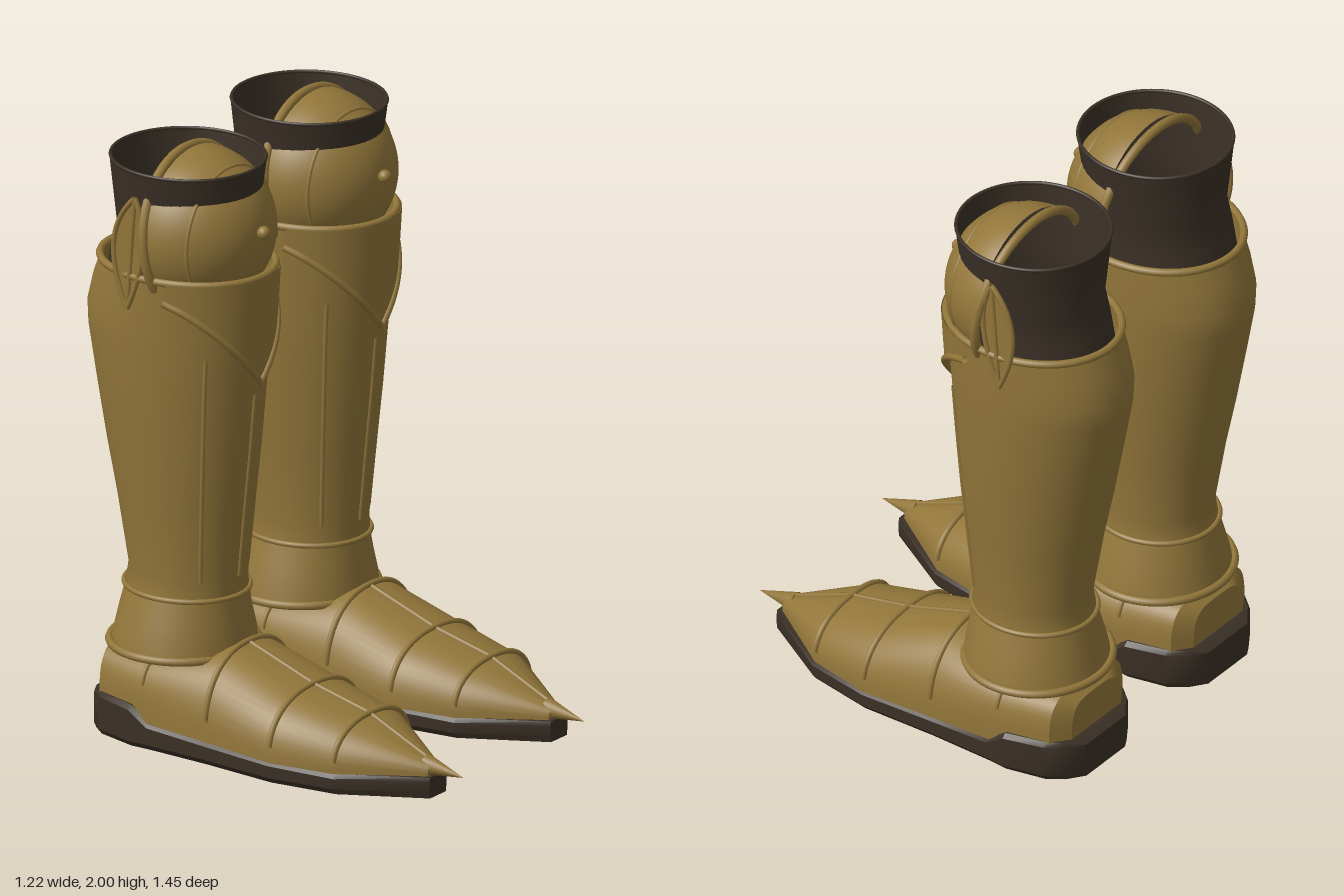
import * as THREE from 'three';
import { toCreasedNormals } from 'three/addons/utils/BufferGeometryUtils.js';

const V = (x, y, z) => new THREE.Vector3(x, y, z);
const lerp = THREE.MathUtils.lerp;

// Leg cross-sections: [y, half width, front z, back z]
const GREAVE = [
  [0.5, 0.185, -0.172, -0.58], [0.57, 0.176, -0.17, -0.57], [0.8, 0.2, -0.147, -0.61],
  [1.0, 0.221, -0.125, -0.652], [1.2, 0.237, -0.107, -0.69], [1.36, 0.246, -0.092, -0.72],
  [1.44, 0.248, -0.086, -0.724], [1.53, 0.248, -0.08, -0.7], [1.61, 0.248, -0.077, -0.668],
];
const ANKLE = [[0.3, 0.24, -0.15, -0.622], [0.36, 0.228, -0.155, -0.61], [0.43, 0.206, -0.165, -0.596], [0.5, 0.185, -0.172, -0.58]];
const CUFF = [[1.56, 0.225, -0.14, -0.645], [1.64, 0.22, -0.145, -0.63], [1.73, 0.216, -0.145, -0.605], [1.96, 0.245, -0.115, -0.628]];
// Foot cross-sections: [z, half width, top y, bottom y, roundness]
const FOOT = [
  [-0.622, 0.13, 0.27, 0.1, 0.5], [-0.58, 0.195, 0.3, 0.1, 0.5], [-0.39, 0.23, 0.305, 0.09, 0.55], [-0.13, 0.235, 0.355, 0.08, 0.85],
  [0.13, 0.242, 0.268, 0.07, 0.85], [0.355, 0.2, 0.218, 0.07, 0.85], [0.61, 0.035, 0.108, 0.07, 0.9],
];
// Sole cross-sections: [z, half width, top y]
const SOLE = [
  [-0.66, 0.11, 0.12], [-0.62, 0.17, 0.14], [-0.57, 0.21, 0.145], [-0.43, 0.243, 0.14], [-0.36, 0.238, 0.092],
  [-0.13, 0.236, 0.08], [0.13, 0.246, 0.075], [0.36, 0.205, 0.07], [0.625, 0.045, 0.07],
];

// Skin over a list of equal-length point rings
function loft(rings, { closed = true, caps = false } = {}) {
  const n = rings[0].length, pos = [], idx = [];
  rings.forEach(r => r.forEach(p => pos.push(p.x, p.y, p.z)));
  for (let i = 0; i < rings.length - 1; i++) {
    for (let j = 0; j < (closed ? n : n - 1); j++) {
      const a = i * n + j, b = i * n + (j + 1) % n;
      idx.push(a, b, a + n, b, b + n, a + n);
    }
  }
  if (caps) {
    const last = (rings.length - 1) * n;
    for (let j = 1; j < n - 1; j++) idx.push(0, j + 1, j, last, last + j, last + j + 1);
  }
  const g = new THREE.BufferGeometry();
  g.setAttribute('position', new THREE.Float32BufferAttribute(pos, 3));
  g.setIndex(idx);
  g.computeVertexNormals();
  return g;
}

// Point on an oval leg section; a = 0 faces front
const oval = ([y, hw, zf, zb], a, off = 0) =>
  V((hw + off) * Math.sin(a), y, (zf + zb) / 2 + ((zf - zb) / 2 + off) * Math.cos(a));
const ring = (row, off = 0, n = 48) => Array.from({ length: n }, (_, i) => oval(row, i / n * Math.PI * 2, off));

// Point on the greave surface at any height
function onGreave(y, a, off = 0) {
  let i = 0;
  while (i < GREAVE.length - 2 && GREAVE[i + 1][0] < y) i++;
  const t = (y - GREAVE[i][0]) / (GREAVE[i + 1][0] - GREAVE[i][0]);
  return oval(GREAVE[i].map((v, k) => lerp(v, GREAVE[i + 1][k], t)), a, off);
}

// Point on an arched foot section; t runs 0..PI over the top
function arch([z, hw, top, bot, p], t, off = 0) {
  const c = Math.cos(t), s = Math.max(0, Math.sin(t));
  return V(Math.sign(c) * (hw + off) * Math.abs(c) ** p, bot + (top - bot + off) * s ** p, z);
}

const tube = (pts, r, closed = false) =>
  new THREE.TubeGeometry(new THREE.CatmullRomCurve3(pts, closed), pts.length * 3, r, 8, closed);
const rod = (a, b, r) => new THREE.TubeGeometry(new THREE.LineCurve3(a, b), 1, r, 8);
const steps = (n, f) => Array.from({ length: n + 1 }, (_, i) => f(i / n));

function createLeg(side, brass, leather) {
  const leg = new THREE.Group();
  const add = (name, geo, mat = brass) => {
    const m = new THREE.Mesh(geo, mat);
    m.name = name;
    leg.add(m);
    return m;
  };

  // Shin, ankle and inner cuff shells
  add('greave', loft(GREAVE.map(r => ring(r))));
  add('ankleFlare', loft(ANKLE.map(r => ring(r))));
  add('cuff', loft(CUFF.map(r => ring(r))), leather);
  add('cuffLip', tube(ring(CUFF[3], -0.004), 0.006, true), leather);

  // Rolled edges
  add('greaveTopRoll', tube(ring(GREAVE[8], 0.002), 0.013, true));
  add('ankleRoll', tube(ring([0.505, 0.185, -0.172, -0.58], 0.004), 0.009, true));
  add('flareRoll', tube(ring([0.313, 0.24, -0.16, -0.622], 0.002), 0.014, true));

  // Raised ridges on the shin
  add('shinRidge', tube(steps(6, t => onGreave(lerp(0.57, 1.2, t), 0)), 0.007));
  for (const s of [-1, 1]) add('sideRidge', tube(steps(6, t => onGreave(lerp(0.57, 1.35, t), s * lerp(0.79, 0.75, t))), 0.007));

  // Pointed plate below the knee
  const vEdge = (u, t) => onGreave(lerp(1.245 + 0.3 * Math.abs(u), 1.61, t), Math.asin(u * 0.95), 0.018);
  add('pointedPlate', loft(steps(6, t => steps(32, u => vEdge(u * 2 - 1, t))), { closed: false }));
  for (const s of [-1, 1]) add('pointedPlateEdge', tube(steps(12, t => vEdge(s * t, 0)), 0.012));

  // Knee dome with rim, band and boss
  const dome = new THREE.SphereGeometry(0.268, 48, 20, 0, Math.PI * 2, 0, Math.PI / 2);
  dome.rotateX(Math.PI / 2);
  add('kneeDome', dome).position.set(0, 1.725, -0.35);
  const rim = new THREE.TorusGeometry(0.273, 0.016, 8, 48, Math.PI * 1.34);
  rim.rotateZ(-Math.PI * 0.17);
  rim.rotateX(-0.12);
  add('kneeRim', rim).position.set(0, 1.715, -0.345);
  add('kneeBand', new THREE.TorusGeometry(0.226, 0.007, 8, 48)).position.set(0, 1.725, -0.21);
  add('kneeBoss', new THREE.SphereGeometry(0.022, 16, 12)).position.set(0, 1.76, -0.07);

  // Leaf-shaped wing on the outer side of the knee
  const x = side * 0.254;
  const top = V(x, 1.88, -0.395), tip = V(x, 1.5, -0.425);
  const edges = [-0.315, -0.545].map(z => new THREE.QuadraticBezierCurve3(top, V(x, 1.74, z), tip));
  const [front, back] = edges.map(e => e.getPoints(16));
  add('kneeWing', loft([front, back], { closed: false }));
  edges.forEach(e => add('kneeWingEdge', new THREE.TubeGeometry(e, 16, 0.009, 8)));
  add('kneeWingRidge', rod(top, tip, 0.008));

  // Plated foot with a spiked toe
  const foot = loft(FOOT.map(r => steps(28, t => arch(r, t * Math.PI))), { caps: true });
  add('footPlate', toCreasedNormals(foot, 0.4));
  const spike = new THREE.ConeGeometry(0.034, 0.15, 16);
  spike.rotateX(Math.PI / 2 + 0.1);
  add('toeSpike', spike).position.set(0, 0.088, 0.653);
  for (const i of [3, 4, 5]) add('footBand', tube(steps(24, t => arch(FOOT[i], lerp(0.2, Math.PI - 0.2, t), 0.003)), 0.01));
  for (const s of [0, 1]) {
    add('heelBand', tube(steps(6, t => {
      const a = lerp(0.37, 1.0, t);
      return arch(FOOT[2], s ? Math.PI - a : a, 0.002);
    }), 0.008));
  }
  for (let i = 3; i < 6; i++) add('footRidge', rod(arch(FOOT[i], Math.PI / 2), arch(FOOT[i + 1], Math.PI / 2), 0.008));

  // Sole with a thicker heel
  const sole = loft(SOLE.map(([z, w, h]) => [
    V(w * 0.93, 0, z), V(w, 0.02, z), V(w, h - 0.015, z), V(w * 0.94, h, z),
    V(-w * 0.94, h, z), V(-w, h - 0.015, z), V(-w, 0.02, z), V(-w * 0.93, 0, z),
  ]), { caps: true });
  add('sole', toCreasedNormals(sole, 0.6), leather);

  leg.name = side > 0 ? 'leftBoot' : 'rightBoot';
  leg.position.x = side * 0.322;
  return leg;
}

export function createModel() {
  const brass = new THREE.MeshStandardMaterial({ color: 0x92763a, side: THREE.DoubleSide });
  brass.name = 'brass';
  const leather = new THREE.MeshStandardMaterial({ color: 0x3a3026, side: THREE.DoubleSide });
  leather.name = 'darkLeather';
  const model = new THREE.Group();
  model.name = 'armouredBoots';
  for (const side of [1, -1]) model.add(createLeg(side, brass, leather));
  return model;
}
